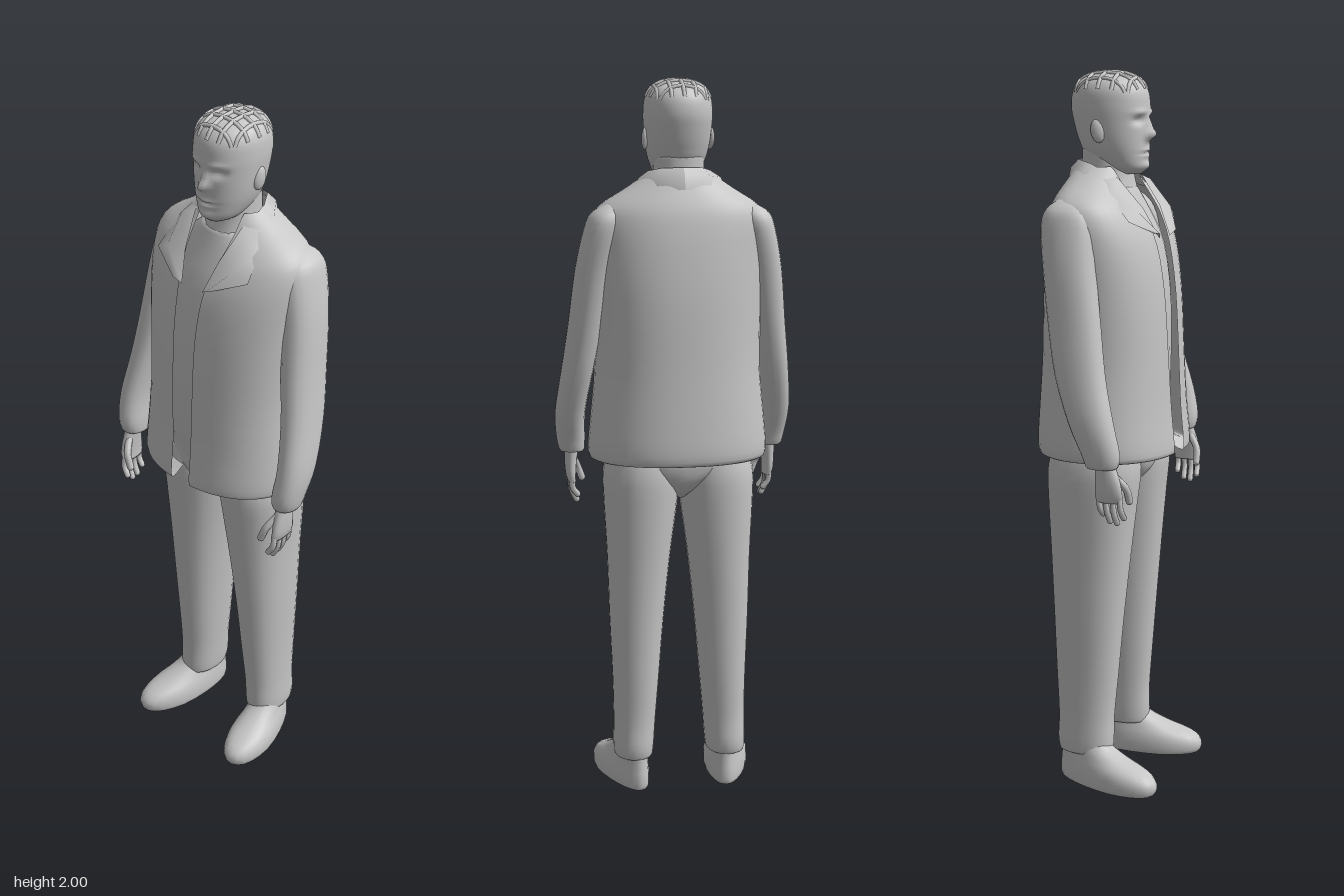
import * as THREE from 'three';

const grey = new THREE.MeshStandardMaterial({ color: 0xc6c6c6, side: THREE.DoubleSide });
grey.name = 'plain grey';

function add(parent, name, geometry) {
  const mesh = new THREE.Mesh(geometry, grey);
  mesh.name = name;
  parent.add(mesh);
  return mesh;
}

function surface(points, indices) {
  const g = new THREE.BufferGeometry();
  g.setAttribute('position', new THREE.Float32BufferAttribute(points.flat(), 3));
  g.setIndex(indices);
  g.computeVertexNormals();
  return g;
}

// Smooth the control rings into more rings.
function smoothRings(rings, sub) {
  const out = [];
  for (let i = 0; i < rings.length - 1; i++) {
    const p = [-1, 0, 1, 2].map(k => rings[Math.min(rings.length - 1, Math.max(0, i + k))]);
    for (let s = 0; s < sub; s++) {
      const t = s / sub;
      out.push(p[1].map((b, k) => {
        const a = p[0][k], c = p[2][k], d = p[3][k];
        return b + 0.5 * t * (c - a + t * (2 * a - 5 * b + 4 * c - d + t * (3 * (b - c) + d - a)));
      }));
    }
  }
  out.push(rings[rings.length - 1]);
  return out;
}

// Rings, lowest first: [y, centre x, front z, back z, half width, left edge x, right edge x].
// With the two edges given, the loft stays open at the front.
function loft(rings, { n = 2.2, seg = 24, sub = 3, side = 1, deform } = {}) {
  const rows = smoothRings(rings, sub), open = rings[0].length > 5;
  const cols = open ? seg + 1 : seg, pts = [], idx = [];
  const pw = v => Math.sign(v) * Math.abs(v) ** (2 / n);
  for (const [y, cx, zf, zb, rx, eL, eR] of rows) {
    const angle = e => Math.asin(Math.min(1, (e / rx) ** (n / 2)));
    const a0 = open ? angle(eL) : 0;
    const a1 = Math.PI * 2 - (open ? angle(eR) : 0);
    for (let j = 0; j < cols; j++) {
      const a = a0 + (a1 - a0) * j / seg;
      const p = [cx * side + rx * pw(Math.sin(a)), y, (zf + zb) / 2 + (zf - zb) / 2 * pw(Math.cos(a))];
      if (deform) deform(p);
      pts.push(p);
    }
  }
  for (let i = 0; i < rows.length - 1; i++) for (let j = 0; j < seg; j++) {
    const k = (j + 1) % cols, a = i * cols + j, b = i * cols + k;
    idx.push(a, b, b + cols, a, b + cols, a + cols);
  }
  if (!open) {
    const last = (rows.length - 1) * cols;
    for (const [r, base] of [[rows[0], 0], [rows[rows.length - 1], last]]) {
      const c = pts.push([r[1] * side, r[0], (r[2] + r[3]) / 2]) - 1;
      for (let j = 0; j < seg; j++) {
        const a = base + j, b = base + (j + 1) % cols;
        base ? idx.push(a, b, c) : idx.push(b, a, c);
      }
    }
  }
  return surface(pts, idx);
}

const tube = (pts, r, steps = 10) => new THREE.TubeGeometry(
  new THREE.CatmullRomCurve3(pts.map(p => new THREE.Vector3(...p))), steps, r, 8);

// Brow, eye sockets, nose, lips and chin, as soft bumps on the face.
const bumps = [ // x, y, width, height, depth
  [0.037, 1.862, 0.018, 0.011, -0.012], [-0.037, 1.862, 0.018, 0.011, -0.012],
  [0.036, 1.884, 0.024, 0.007, 0.005], [-0.036, 1.884, 0.024, 0.007, 0.005],
  [0, 1.824, 0.013, 0.014, 0.023], [0, 1.848, 0.009, 0.02, 0.012],
  [0, 1.782, 0.022, 0.005, 0.006], [0, 1.768, 0.02, 0.005, 0.005],
  [0, 1.775, 0.028, 0.003, -0.007], [0, 1.74, 0.025, 0.012, 0.008],
];
function shapeFace(p) {
  if (p[2] < 0.02) return;
  const [x, y] = p;
  for (const [bx, by, w, h, d] of bumps) p[2] += d * Math.exp(-(((x - bx) / w) ** 2) - ((y - by) / h) ** 2);
}

function buildHead(root) {
  const head = new THREE.Group();
  head.name = 'head';
  root.add(head);
  add(head, 'skull', loft([
    [1.718, 0, 0.075, 0.0, 0.028], [1.735, 0, 0.09, -0.03, 0.055], [1.77, 0, 0.095, -0.08, 0.075],
    [1.81, 0, 0.096, -0.1, 0.086], [1.86, 0, 0.097, -0.115, 0.092], [1.9, 0, 0.097, -0.122, 0.094],
    [1.94, 0, 0.09, -0.116, 0.09], [1.968, 0, 0.068, -0.095, 0.074], [1.983, 0, 0.036, -0.062, 0.045],
    [1.988, 0, 0, -0.03, 0.012],
  ], { seg: 56, sub: 7, n: 2.1, deform: shapeFace }));
  add(head, 'neck', loft([
    [1.58, 0, 0.09, -0.12, 0.1], [1.66, 0, 0.065, -0.1, 0.078],
    [1.72, 0, 0.05, -0.09, 0.07], [1.8, 0, 0.045, -0.09, 0.07],
  ]));
  for (const s of [1, -1]) {
    const ear = add(head, 'ear', new THREE.SphereGeometry(1, 12, 8));
    ear.scale.set(0.01, 0.032, 0.019);
    ear.position.set(s * 0.09, 1.835, -0.012);
    ear.rotation.set(-0.2, s * -0.3, 0);
  }
  // Criss-crossing strands over the crown.
  const crown = (x, z) => {
    const r = Math.min(1, Math.hypot(x / 0.092, (z + 0.013) / 0.104));
    return [x, 1.908 + 0.081 * (1 - r ** 2.6) ** (1 / 2.6), z];
  };
  for (const k of [-2, -1, 0, 1, 2]) {
    const cross = [], along = [];
    for (let t = -1; t <= 1.01; t += 0.125) {
      const c = k * 0.36, w = Math.sqrt(1 - c * c) * 0.95 * t;
      cross.push(crown(w * 0.092, c * 0.104 - 0.013));
      along.push(crown(c * 0.092, w * 0.104 - 0.013));
    }
    add(head, 'hair strand across', tube(cross, 0.006, 24));
    add(head, 'hair strand along', tube(along, 0.006, 24));
  }
}

function buildJacket(root) {
  add(root, 'shirt', loft([
    [0.955, 0, 0.118, -0.14, 0.19], [1.1, 0, 0.145, -0.16, 0.2], [1.35, 0, 0.148, -0.155, 0.205],
    [1.52, 0, 0.125, -0.14, 0.2], [1.62, 0, 0.085, -0.12, 0.15], [1.69, 0, 0.055, -0.09, 0.075],
  ], { seg: 32, n: 2 }));
  add(root, 'jacket body', loft([
    [0.975, 0, 0.15, -0.15, 0.2, 0.03, 0.04], [0.955, 0, 0.192, -0.188, 0.24, 0.028, 0.04],
    [0.985, 0, 0.197, -0.199, 0.25, 0.025, 0.04], [1.08, 0, 0.188, -0.195, 0.242, 0.025, 0.04],
    [1.22, 0, 0.181, -0.187, 0.23, 0.025, 0.045], [1.4, 0, 0.17, -0.179, 0.234, 0.027, 0.048],
    [1.53, 0, 0.148, -0.166, 0.242, 0.035, 0.05], [1.61, 0, 0.115, -0.153, 0.243, 0.05, 0.058],
    [1.655, 0, 0.085, -0.14, 0.22, 0.06, 0.065], [1.7, 0, 0.055, -0.12, 0.15, 0.065, 0.068],
    [1.74, 0, 0.04, -0.1, 0.09, 0.068, 0.07],
  ], { n: 2.25, seg: 44 }));
  // Turned-down collar ending in a pointed lapel.
  const inner = [[0, 1.758, -0.098], [0.055, 1.757, -0.085], [0.086, 1.748, -0.035], [0.08, 1.71, 0.045], [0.058, 1.63, 0.108], [0.036, 1.55, 0.147]];
  const outer = [[0, 1.7, -0.124], [0.075, 1.698, -0.108], [0.13, 1.695, -0.045], [0.145, 1.668, 0.045], [0.158, 1.602, 0.108], [0.07, 1.565, 0.146]];
  for (const s of [1, -1]) {
    const pts = [], idx = [];
    inner.forEach((p, i) => {
      const o = outer[i], lift = [i ? 0.006 : 0, 0.008, i < 3 ? -0.004 : 0.01];
      const mid = p.map((v, k) => (v + o[k]) / 2 + lift[k]);
      for (const q of [p, mid, o]) pts.push([q[0] * s, q[1], q[2]]);
      if (i) for (let j = 0; j < 2; j++) {
        const a = (i - 1) * 3 + j, b = a + 3;
        s > 0 ? idx.push(a, a + 1, b, b, a + 1, b + 1) : idx.push(a, b, a + 1, b, b + 1, a + 1);
      }
    });
    add(root, s > 0 ? 'left collar' : 'right collar', surface(pts, idx));
  }
}

function buildArm(root, s) {
  const arm = new THREE.Group();
  arm.name = s > 0 ? 'left arm' : 'right arm';
  root.add(arm);
  add(arm, 'sleeve', loft([
    [0.985, 0.284, 0.118, 0.06, 0.026], [0.962, 0.286, 0.128, 0.045, 0.034], [1.0, 0.29, 0.136, 0.03, 0.04],
    [1.08, 0.294, 0.12, -0.005, 0.042], [1.2, 0.278, 0.09, -0.05, 0.044], [1.33, 0.258, 0.068, -0.078, 0.047],
    [1.48, 0.238, 0.045, -0.102, 0.05], [1.59, 0.215, 0.032, -0.118, 0.05], [1.635, 0.202, 0.012, -0.108, 0.044],
    [1.66, 0.185, -0.015, -0.08, 0.022],
  ], { side: s, seg: 20 }));
  add(arm, 'palm', loft([
    [0.868, 0.285, 0.142, 0.07, 0.011], [0.89, 0.288, 0.146, 0.066, 0.014],
    [0.93, 0.288, 0.138, 0.068, 0.017], [0.99, 0.285, 0.115, 0.068, 0.02],
  ], { side: s, seg: 16 }));
  [0.052, 0.068, 0.064, 0.045].forEach((length, i) => {
    const z = 0.136 - i * 0.02;
    add(arm, 'finger', tube([[s * 0.286, 0.885, z], [s * 0.285, 0.875 - length * 0.5, z + 0.004],
      [s * 0.271, 0.878 - length, z + 0.007]], 0.0085));
    const tip = add(arm, 'fingertip', new THREE.SphereGeometry(0.0085, 8, 6));
    tip.position.set(s * 0.271, 0.878 - length, z + 0.007);
  });
  add(arm, 'thumb', tube([[s * 0.282, 0.94, 0.12], [s * 0.264, 0.905, 0.146], [s * 0.25, 0.868, 0.15]], 0.0105));
  add(arm, 'thumb tip', new THREE.SphereGeometry(0.0105, 8, 6)).position.set(s * 0.25, 0.868, 0.15);
}

function buildLeg(root, s) {
  const leg = new THREE.Group();
  leg.name = s > 0 ? 'left leg' : 'right leg';
  root.add(leg);
  add(leg, 'trouser leg', loft([
    [0.11, 0.134, 0.04, -0.1, 0.046], [0.095, 0.134, 0.046, -0.108, 0.053], [0.13, 0.133, 0.05, -0.115, 0.057],
    [0.2, 0.13, 0.05, -0.113, 0.059], [0.32, 0.126, 0.06, -0.12, 0.065], [0.5, 0.122, 0.075, -0.128, 0.076],
    [0.68, 0.115, 0.092, -0.138, 0.088], [0.82, 0.109, 0.106, -0.146, 0.101], [0.92, 0.105, 0.115, -0.148, 0.106],
    [1.0, 0.1, 0.1, -0.13, 0.09],
  ], { side: s }));
  // Shoe, toes turned outwards.
  const shoe = loft([
    [0, 0, 0.235, -0.05, 0.05], [0.008, 0, 0.25, -0.062, 0.064], [0.035, 0, 0.254, -0.064, 0.066],
    [0.06, 0, 0.228, -0.062, 0.062], [0.085, 0, 0.16, -0.06, 0.054], [0.115, 0, 0.1, -0.058, 0.048],
    [0.15, 0, 0.075, -0.05, 0.04],
  ], { deform: p => { p[0] *= 0.76 + 0.24 * Math.min(1, Math.max(0, (p[2] + 0.04) / 0.17)); } });
  shoe.rotateY(s * 0.2);
  shoe.translate(s * 0.134, 0, -0.049);
  add(leg, 'shoe', shoe);
}

export function createModel() {
  const root = new THREE.Group();
  root.name = 'standing man';
  buildHead(root);
  buildJacket(root);
  // Joins the two trouser legs between the thighs.
  add(root, 'trouser seat', loft([
    [0.845, 0, 0.035, -0.07, 0.012], [0.868, 0, 0.075, -0.11, 0.04], [0.9, 0, 0.105, -0.138, 0.1],
    [0.94, 0, 0.117, -0.148, 0.195], [0.98, 0, 0.122, -0.148, 0.205], [1.05, 0, 0.12, -0.14, 0.2],
  ], { seg: 32 }));
  for (const s of [1, -1]) {
    buildArm(root, s);
    buildLeg(root, s);
  }
  return root;
}
